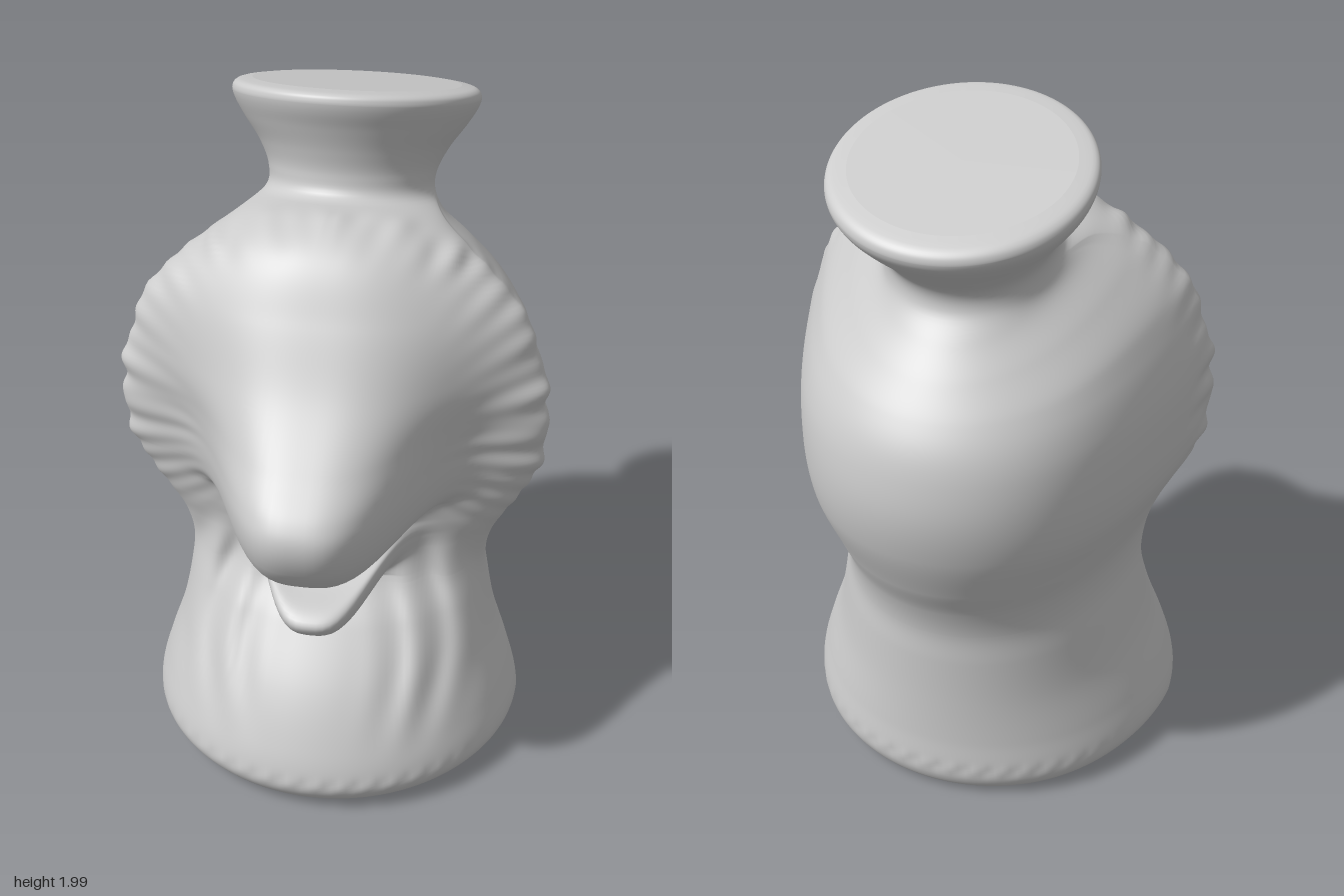
import * as THREE from 'three';

// Body rings: row height, half width, back z, z of widest point, front z
const BODY = [
  [0, 0.4, -0.45, 0, 0.45], [0.012, 0.48, -0.505, 0, 0.51], [0.05, 0.54, -0.537, 0, 0.555],
  [0.1, 0.555, -0.545, 0, 0.57], [0.2, 0.53, -0.54, 0, 0.54], [0.35, 0.48, -0.54, 0, 0.46],
  [0.5, 0.45, -0.545, 0, 0.34], [0.6, 0.44, -0.55, 0.02, 0.25], [0.7, 0.455, -0.58, 0.05, 0.21],
  [0.8, 0.5, -0.63, 0.08, 0.21], [0.95, 0.58, -0.69, 0.1, 0.23], [1.1, 0.598, -0.715, 0.12, 0.25],
  [1.25, 0.585, -0.695, 0.12, 0.26], [1.4, 0.515, -0.64, 0.1, 0.25], [1.5, 0.39, -0.575, 0.05, 0.2],
  [1.57, 0.285, -0.505, -0.05, 0.13], [1.62, 0.238, -0.455, -0.19, 0.02], [1.68, 0.235, -0.46, -0.225, -0.008],
  [1.75, 0.265, -0.515, -0.26, -0.003], [1.82, 0.312, -0.58, -0.285, 0.016], [1.87, 0.34, -0.62, -0.3, 0.034],
  [1.9, 0.345, -0.628, -0.3, 0.036], [1.92, 0.328, -0.61, -0.3, 0.018], [1.927, 0.29, -0.57, -0.3, -0.025],
];

// Face centreline: row height, z, y, half width of the raised part
const FACE = [
  [0.62, 0.24, 0.62, 0.17], [0.67, 0.28, 0.6, 0.17], [0.7, 0.36, 0.578, 0.17], [0.72, 0.44, 0.573, 0.17],
  [0.737, 0.505, 0.6, 0.17], [0.75, 0.535, 0.643, 0.17], [0.765, 0.5, 0.675, 0.175], [0.785, 0.41, 0.7, 0.18],
  [0.805, 0.355, 0.73, 0.18], [0.835, 0.36, 0.77, 0.19], [0.865, 0.41, 0.8, 0.21], [0.89, 0.53, 0.81, 0.235],
  [0.92, 0.62, 0.85, 0.255], [0.955, 0.69, 0.93, 0.265], [1.01, 0.72, 1.02, 0.27], [1.08, 0.695, 1.09, 0.275],
  [1.17, 0.6, 1.18, 0.295], [1.28, 0.47, 1.32, 0.34], [1.4, 0.36, 1.49, 0.35], [1.5, 0.26, 1.63, 0.3],
  [1.57, 0.14, 1.69, 0.25], [1.62, 0.02, 1.69, 0.2],
];

const smooth = THREE.MathUtils.smoothstep;
const gauss = (d) => Math.exp(-d * d);

// Smooth (Hermite) lookup of a table row at height y
function sample(table, y) {
  let i = 0;
  while (i < table.length - 2 && table[i + 1][0] < y) i++;
  const b = table[i], c = table[i + 1];
  const a = table[i - 1] || b, d = table[i + 2] || c;
  const h = c[0] - b[0], t = (y - b[0]) / h, t2 = t * t, t3 = t2 * t;
  return b.map((v, k) => {
    const m0 = ((c[k] - a[k]) / (c[0] - a[0])) * h;
    const m1 = ((d[k] - v) / (d[0] - b[0])) * h;
    return (2 * t3 - 3 * t2 + 1) * v + (t3 - 2 * t2 + t) * m0 + (3 * t2 - 2 * t3) * c[k] + (t3 - t2) * m1;
  });
}

// Point on the surface at height row and angle t (front at PI / 2)
function surfacePoint(row, t) {
  const [, w, back, mid, front] = sample(BODY, row);
  const s = Math.sin(t);
  const slope = 0.27 * smooth(row, 1.2, 1.6);
  const tilt = (z) => row + slope * (z + 0.25);
  let x = w * Math.cos(t);
  let z = mid + s * (s > 0 ? front - mid : mid - back);
  let y = tilt(z);

  // Flatter sides behind the mane
  if (s < 0) {
    const flat = (0.03 + 0.05 * smooth(row, 0.7, 1)) * (1 - smooth(row, 1.35, 1.6));
    x *= 1 - flat * Math.sin(-s * Math.PI);
  }

  // Muzzle, mouth and lower jaw
  if (s > 0 && row > 0.62 && row < 1.62) {
    const [, fz, fy, width] = sample(FACE, row);
    const bump = Math.exp(-Math.pow(Math.abs(x) / width, 3.1));
    z += (fz - front) * bump;
    y += (fy - tilt(front)) * bump;
  }

  // Uneven tufts around the edge of the mane
  const rim = gauss((z - 0.12) / 0.09) * smooth(row, 0.72, 0.9) * (1 - smooth(row, 1.5, 1.6))
    * smooth(Math.abs(x), 0.2, 0.4);
  const crest = gauss((z - 0.13) / 0.08) * smooth(row, 1.42, 1.5) * (1 - smooth(row, 1.57, 1.61));
  const a = Math.atan2(y - 1.1, Math.abs(x));
  const tuft = (0.6 + 0.4 * Math.sin(a * 5 + 1)) * Math.sin(a * 25 + z * 9 + Math.sin(a * 7))
    + 0.4 * Math.sin(a * 47 - z * 14);
  const lift = 0.0075 * (rim + 0.5 * crest) * tuft;
  x += Math.sign(x) * Math.cos(a) * lift;
  y += Math.sin(a) * lift;
  z += 0.4 * lift;

  // Long locks down the chest
  if (s > 0) {
    const ax = Math.abs(x);
    const locks = smooth(row, 0.15, 0.4) * (1 - smooth(row, 0.6, 0.76)) * gauss((ax - 0.3) / 0.11);
    z += locks * (0.016 * Math.sin(ax * 48 + row * 5 + Math.sin(row * 11) * 1.2) - 0.004);
  }

  // Small puckers along the hem
  z += 0.004 * gauss((row - 0.1) / 0.02) * Math.sin(t * 46) * s;
  return [x, Math.max(y, 0), z];
}

const SIDES = 160;
const ring = (row) => Array.from({ length: SIDES }, (_, i) => surfacePoint(row, (i / SIDES) * Math.PI * 2));

function makeMesh(name, points, index) {
  const geo = new THREE.BufferGeometry();
  geo.setAttribute('position', new THREE.Float32BufferAttribute(points.flat(), 3));
  geo.setIndex(index);
  geo.computeVertexNormals();
  const mesh = new THREE.Mesh(geo, new THREE.MeshStandardMaterial({ color: 0xcccccc }));
  mesh.name = name;
  return mesh;
}

// Flat disc closing a ring
function makeCap(name, row, up) {
  const points = ring(row);
  const centre = [0, 1, 2].map((k) => points.reduce((sum, p) => sum + p[k], 0) / SIDES);
  const index = [];
  for (let i = 0; i < SIDES; i++) {
    const j = (i + 1) % SIDES;
    index.push(SIDES, up ? j : i, up ? i : j);
  }
  return makeMesh(name, [...points, centre], index);
}

export function createModel() {
  const group = new THREE.Group();
  group.name = 'animalBust';

  // Rows are closer together around the mouth and the neck rim
  const rows = [];
  const addRows = (from, to, n) => {
    for (let i = 0; i < n; i++) rows.push(from + ((to - from) * i) / n);
  };
  const top = BODY[BODY.length - 1][0];
  addRows(0, 0.05, 14);
  addRows(0.05, 0.6, 55);
  addRows(0.6, 0.96, 115);
  addRows(0.96, 1.89, 105);
  addRows(1.89, top, 14);
  rows.push(top);

  // Body, head and neck in one skin
  const index = [];
  for (let r = 0; r < rows.length - 1; r++) {
    for (let i = 0; i < SIDES; i++) {
      const a = r * SIDES + i, b = r * SIDES + ((i + 1) % SIDES);
      index.push(a, a + SIDES, b, b, a + SIDES, b + SIDES);
    }
  }
  group.add(makeMesh('bodyAndHead', rows.flatMap(ring), index));

  // Slanted top of the neck and flat underside
  group.add(makeCap('neckTop', top, true));
  group.add(makeCap('underside', 0, false));
  return group;
}
